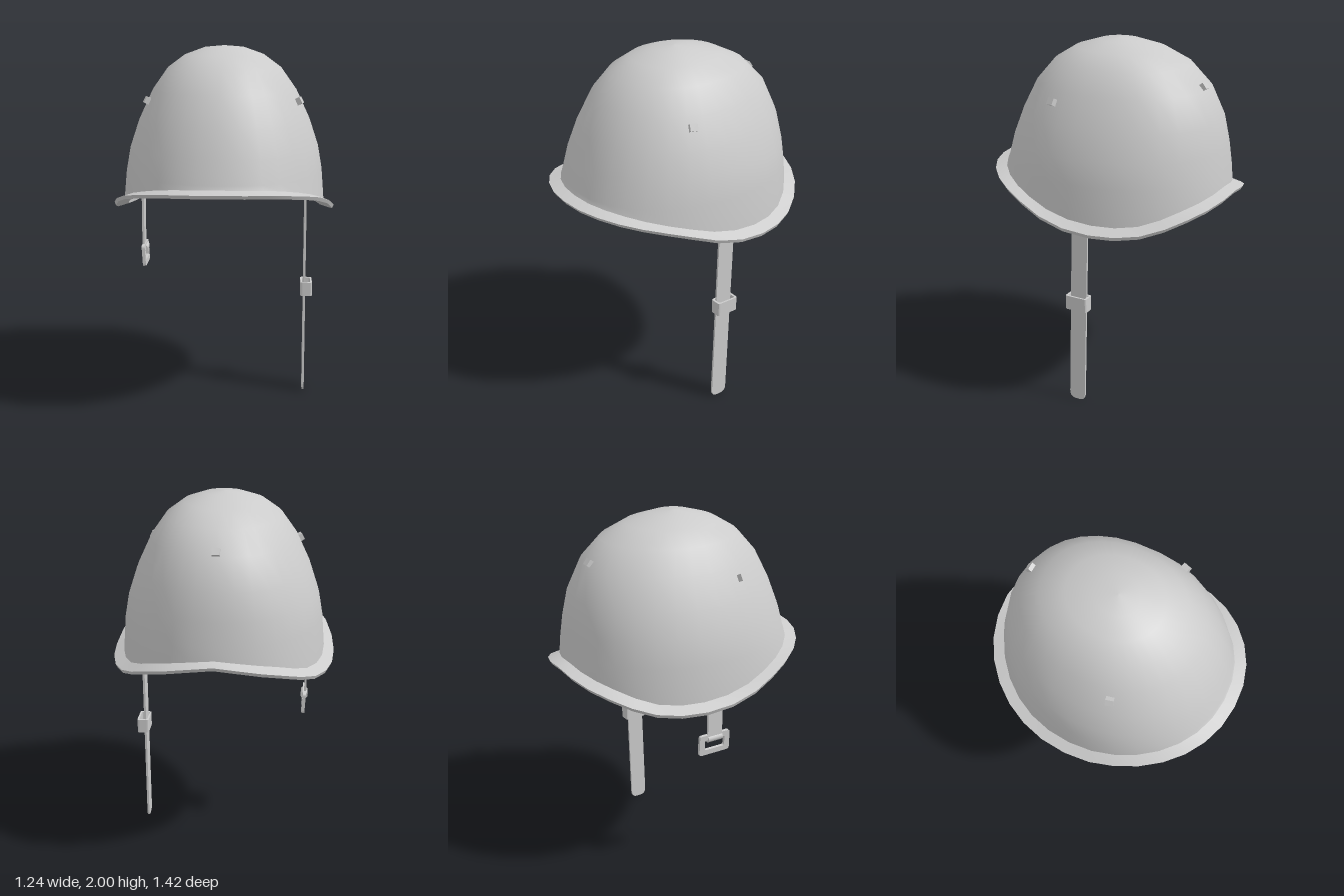
import * as THREE from 'three';

const SEG = 32;
const mat = new THREE.MeshStandardMaterial({ color: 0xcccccc });

// heights around the edge, every 30 degrees from front to back
const JOIN = [1.3, 1.285, 1.225, 1.135, 1.125, 1.205, 1.255];
const EDGE = [1.285, 1.27, 1.215, 1.105, 1.095, 1.18, 1.243];

function heightAt(table, t) {
  const curve = new THREE.SplineCurve(table.map((y, i) => new THREE.Vector2(i, y)));
  const a = t > Math.PI ? 2 * Math.PI - t : t;
  return curve.getPoint(a / Math.PI).y;
}

// one horizontal section; y may be a number or a function of the angle
function ring(y, rx, front, back) {
  const pow = (v) => Math.sign(v) * Math.abs(v) ** 0.95;
  return Array.from({ length: SEG }, (_, j) => {
    const t = (j / SEG) * 2 * Math.PI;
    const c = pow(Math.cos(t));
    return [rx * pow(Math.sin(t)), typeof y === 'function' ? y(t) : y, c * (c > 0 ? front : back)];
  });
}

// skin over a list of rings
function loft(rings) {
  const index = [];
  for (let i = 0; i < rings.length - 1; i++) {
    for (let j = 0; j < SEG; j++) {
      const k = (j + 1) % SEG;
      const a = i * SEG + j, d = i * SEG + k;
      index.push(a, a + SEG, d + SEG, a, d + SEG, d);
    }
  }
  const geo = new THREE.BufferGeometry();
  geo.setAttribute('position', new THREE.Float32BufferAttribute(rings.flat(2), 3));
  geo.setIndex(index);
  geo.computeVertexNormals();
  return geo;
}

function add(parent, name, geo, x = 0, y = 0, z = 0) {
  const mesh = new THREE.Mesh(geo, mat);
  mesh.name = name;
  mesh.position.set(x, y, z);
  parent.add(mesh);
  return mesh;
}

// flat plate standing in the y-z plane, thin along x
function plate(shape, thickness) {
  const geo = new THREE.ExtrudeGeometry(shape, { depth: thickness, bevelEnabled: false, curveSegments: 4 });
  return geo.translate(0, 0, -thickness / 2).rotateY(Math.PI / 2);
}

function roundedRect(target, w, h, r) {
  const x = w / 2, y = h / 2;
  target.moveTo(-x + r, -y).lineTo(x - r, -y).quadraticCurveTo(x, -y, x, -y + r);
  target.lineTo(x, y - r).quadraticCurveTo(x, y, x - r, y);
  target.lineTo(-x + r, y).quadraticCurveTo(-x, y, -x, y - r);
  target.lineTo(-x, -y + r).quadraticCurveTo(-x, -y, -x + r, -y);
  return target;
}

function frame(w, h, holeW, holeH, thickness) {
  const shape = roundedRect(new THREE.Shape(), w, h, 0.015);
  shape.holes.push(roundedRect(new THREE.Path(), holeW, holeH, 0.01));
  return plate(shape, thickness);
}

// strap whose middle runs from z0 at the top to z1 at the bottom
function strap(top, bottom, z0, z1, w, tip) {
  const h = w / 2, s = new THREE.Shape();
  s.moveTo(-z0 - h, top).lineTo(-z1 - h, bottom + tip);
  s.quadraticCurveTo(-z1 - h, bottom, -z1 - h * 0.3, bottom).lineTo(-z1 + h * 0.3, bottom);
  s.quadraticCurveTo(-z1 + h, bottom, -z1 + h, bottom + tip).lineTo(-z0 + h, top);
  return plate(s, 0.012);
}

export function createModel() {
  const group = new THREE.Group();
  const join = (t) => heightAt(JOIN, t);
  const edge = (t) => heightAt(EDGE, t);

  // dome sections: height, half width, reach to front and back
  const dome = [
    [2, 0, 0, 0], [1.99, 0.11, 0.11, 0.12], [1.95, 0.22, 0.24, 0.27], [1.88, 0.315, 0.355, 0.41],
    [1.76, 0.4, 0.46, 0.525], [1.6, 0.475, 0.54, 0.595], [1.45, 0.525, 0.598, 0.622], [1.32, 0.548, 0.635, 0.638],
  ];
  const outer = dome.map((d) => ring(...d));
  outer.push(ring(join, 0.563, 0.645, 0.645));
  add(group, 'dome', loft(outer));

  // inside of the shell
  const T = 0.02;
  const inner = dome.map(([y, ...r]) => ring(y - T, ...r.map((v) => Math.max(0, v - T))));
  inner.push(ring((t) => join(t) - 0.028, 0.543, 0.625, 0.625));
  add(group, 'domeLining', loft(inner.reverse()));

  // flared rim: upper face, outer edge and underside
  const rimRings = [
    ring(join, 0.563, 0.645, 0.645),
    ring(edge, 0.62, 0.71, 0.71),
    ring((t) => edge(t) - 0.02, 0.612, 0.698, 0.698),
    ring((t) => join(t) - 0.028, 0.543, 0.625, 0.625),
  ];
  const rim = new THREE.Group();
  rim.name = 'rim';
  group.add(rim);
  ['rimTop', 'rimEdge', 'rimUnderside'].forEach((name, i) => add(rim, name, loft(rimRings.slice(i, i + 2))));

  // rivets on both sides and at the back, lying on the dome
  for (const [name, x, y, z, nx, ny, nz] of [
    ['leftRivet', 0.412, 1.71, 0.175, 0.85, 0.45, 0.25],
    ['rightRivet', -0.412, 1.71, 0.175, -0.85, 0.45, 0.25],
    ['backRivet', 0, 1.785, -0.508, 0, 0.6, -0.8],
  ]) {
    const rivet = add(group, name, new THREE.BoxGeometry(0.042, 0.038, 0.03), x, y, z);
    rivet.lookAt(x + nx, y + ny, z + nz);
  }

  // hangers on the inner walls that hold the straps
  for (const s of [1, -1]) {
    const hanger = add(group, s > 0 ? 'leftHanger' : 'rightHanger', frame(0.17, 0.13, 0.11, 0.06, 0.015), s * 0.48, 1.31, -0.02);
    hanger.rotation.z = -s * 0.25;
  }

  // long left strap with its keeper
  add(group, 'longStrap', strap(1.3, 0.005, -0.023, 0.013, 0.097, 0.04), 0.461);
  const keeper = new THREE.Group();
  keeper.name = 'strapKeeper';
  keeper.position.set(0.472, 0.62, -0.007);
  group.add(keeper);
  const loop = roundedRect(new THREE.Shape(), 0.066, 0.13, 0.012);
  loop.holes.push(roundedRect(new THREE.Path(), 0.046, 0.106, 0.008));
  const loopGeo = new THREE.ExtrudeGeometry(loop, { depth: 0.08, bevelEnabled: false, curveSegments: 4 });
  add(keeper, 'keeperLoop', loopGeo.translate(0, 0, -0.04).rotateX(Math.PI / 2));

  // short right strap folded round the bar of its buckle
  add(group, 'shortStrap', strap(1.3, 0.83, -0.02, -0.015, 0.09, 0.005), -0.466);
  const fold = new THREE.CylinderGeometry(0.02, 0.02, 0.09, 10).rotateX(Math.PI / 2);
  add(group, 'strapFold', fold, -0.46, 0.845, -0.015);
  const buckle = add(group, 'buckle', frame(0.19, 0.12, 0.125, 0.06, 0.018), -0.459, 0.812, -0.015);
  buckle.rotation.z = 0.06;

  return group;
}
